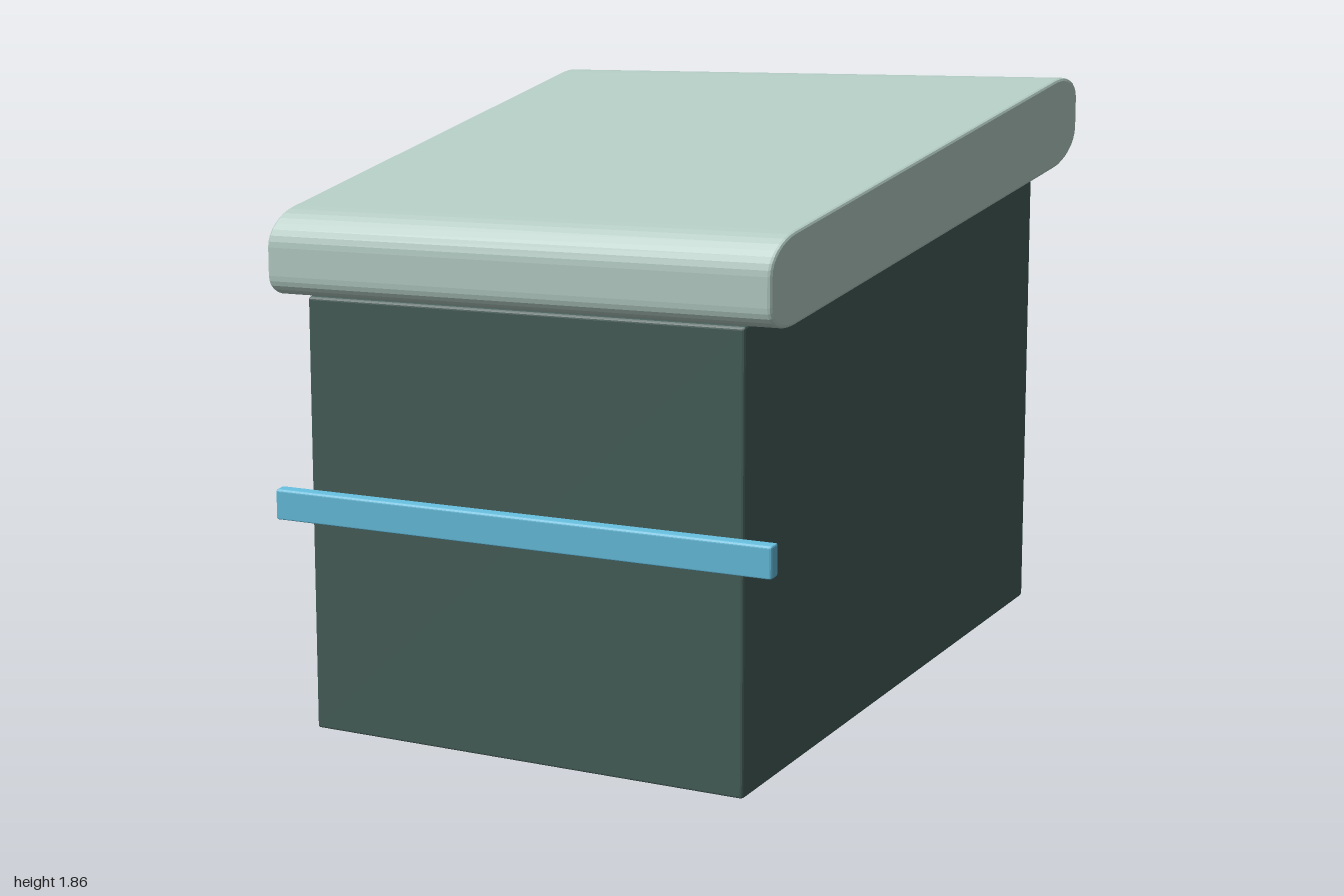
import * as THREE from 'three';

const SLANT = 0.405; // sideways and upward lean per unit of depth

// Rounded rectangle in the depth/height plane
function roundedRect(w, h, r) {
  const x = w / 2, y = h / 2, s = new THREE.Shape();
  s.absarc(x - r, y - r, r, 0, Math.PI / 2);
  s.absarc(-x + r, y - r, r, Math.PI / 2, Math.PI);
  s.absarc(-x + r, -y + r, r, Math.PI, Math.PI * 1.5);
  s.absarc(x - r, -y + r, r, Math.PI * 1.5, Math.PI * 2);
  s.closePath();
  return s;
}

// Block with rounded long edges and a fine bevel at both ends, leaned into a slanted prism
function slantedBlock(name, color, [w, h, d], [y, z], radius, bevel, segments) {
  const geo = new THREE.ExtrudeGeometry(roundedRect(d, h, radius), {
    depth: w - 2 * bevel, bevelThickness: bevel, bevelSize: bevel,
    bevelOffset: -bevel, bevelSegments: 2, curveSegments: segments,
  });
  geo.translate(0, 0, -(w - 2 * bevel) / 2);
  geo.rotateY(Math.PI / 2);
  geo.translate(0, y, z);
  geo.applyMatrix4(new THREE.Matrix4().set(
    1, 0, -SLANT, 0,
    0, 1, -SLANT, 0,
    0, 0, 1, 0,
    0, 0, 0, 1));
  const mesh = new THREE.Mesh(geo, new THREE.MeshStandardMaterial({ color }));
  mesh.name = name;
  return mesh;
}

export function createModel() {
  const model = new THREE.Group();
  model.name = 'slantedBin';
  model.add(
    // Body, tucked just under the lid
    slantedBlock('body', 0x425a55, [1.375, 1.25, 0.976], [0.825, 0], 0.008, 0.006, 2),
    // Overhanging lid with rounded front and back edges
    slantedBlock('lid', 0xb0c8c0, [1.58, 0.24, 1.04], [1.56, 0], 0.08, 0.008, 4),
    // Thin strip across the front
    slantedBlock('frontStrip', 0x62b8d6, [1.58, 0.088, 0.024], [0.859, 0.5], 0.006, 0.005, 2),
  );
  return model;
}
